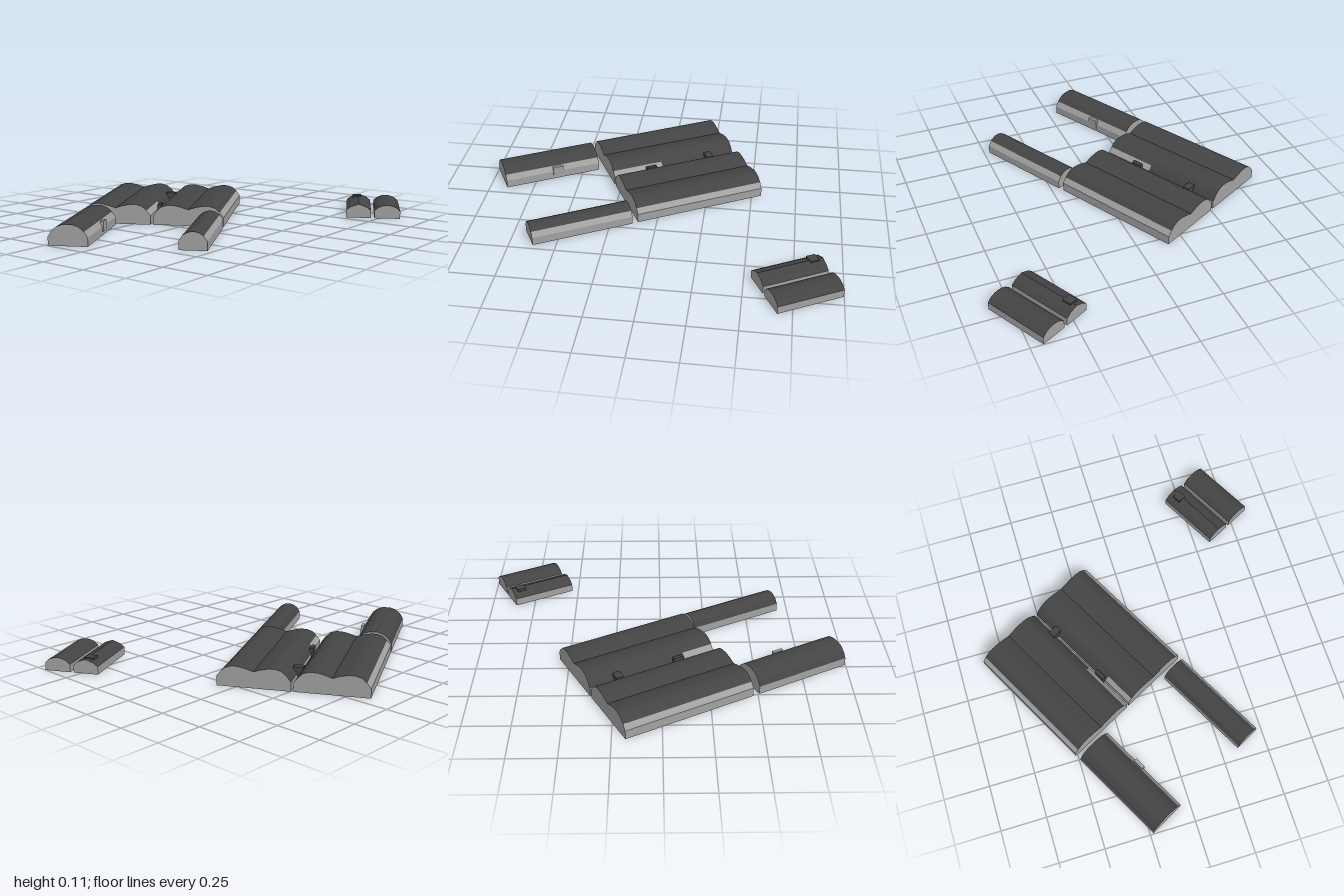
import * as THREE from 'three';

const TURN = 0.489; // shared heading of the whole site

// Roof outlines: [fraction of half width, height] from eave to middle
const WIDE = [[-1, 0.05], [-0.89, 0.078], [-0.76, 0.1], [-0.6, 0.11], [-0.42, 0.11], [-0.2, 0.101], [0, 0.088]];
const LARGE = [[-1, 0.045], [-0.82, 0.075], [-0.55, 0.098], [-0.22, 0.109]];
const NARROW = [[-1, 0.045], [-0.74, 0.073], [-0.4, 0.088], [-0.12, 0.093]];
const SMALL = [[-1, 0.043], [-0.7, 0.062], [-0.3, 0.073], [0, 0.075]];
const RIDGED = [[-1, 0.043], [-0.65, 0.062], [0, 0.078]];

function mirrorProfile(half, w) {
  const left = half.map(([u, y]) => [u * w, y]);
  const right = left.filter(([u]) => u < 0).reverse().map(([u, y]) => [-u, y]);
  return [...left, ...right];
}

// Flat strips, each running along z between two profile points
function strips(list) {
  const pos = [];
  for (const [p, q, z0, z1] of list) {
    const a = [...p, z0], b = [...p, z1], c = [...q, z1], d = [...q, z0];
    pos.push(...a, ...b, ...c, ...a, ...c, ...d);
  }
  const g = new THREE.BufferGeometry();
  g.setAttribute('position', new THREE.Float32BufferAttribute(pos, 3));
  g.computeVertexNormals();
  return g;
}

export function createModel() {
  const roofMat = new THREE.MeshStandardMaterial({ color: 0x444444, side: THREE.DoubleSide });
  roofMat.name = 'roof dark grey';
  const wallMat = new THREE.MeshStandardMaterial({ color: 0xa2a2a2, side: THREE.DoubleSide });
  wallMat.name = 'wall grey';
  const model = new THREE.Group();
  model.name = 'hangarSite';

  // One open-bottomed hall; leftPale/rightPale give the z at which a pale eave begins
  function hall(name, x, z, width, length, half, leftPale, rightPale) {
    const group = new THREE.Group();
    group.name = name;
    group.position.set(x, 0, z);
    group.rotation.y = TURN;
    const w = width / 2, l = length / 2;
    const p = mirrorProfile(half, w), last = p.length - 1;
    const walls = [[[-w, 0], p[0], -l, l], [p[last], [w, 0], -l, l]];
    const roof = [];
    for (let i = 0; i < last; i++) {
      const start = i === 0 ? leftPale : i === last - 1 ? rightPale : l;
      if (start > -l) roof.push([p[i], p[i + 1], -l, Math.min(start, l)]);
      if (start < l) walls.push([p[i], p[i + 1], Math.max(start, -l), l]);
    }
    const add = (geo, mat, part) => {
      const m = new THREE.Mesh(geo, mat);
      m.name = part;
      group.add(m);
      return m;
    };
    add(strips(roof), roofMat, 'barrelRoof');
    add(strips(walls), wallMat, 'sideWalls');
    // Gable ends
    const outline = [[-w, 0], ...p, [w, 0]].map(([u, y]) => new THREE.Vector2(u, y));
    const gable = new THREE.ShapeGeometry(new THREE.Shape(outline));
    add(gable, wallMat, 'frontGable').position.z = l;
    const back = add(gable, wallMat, 'backGable');
    back.position.z = -l;
    back.rotation.y = Math.PI;
    model.add(group);
    return group;
  }

  function block(group, name, mat, size, at) {
    const m = new THREE.Mesh(new THREE.BoxGeometry(...size), mat);
    m.name = name;
    m.position.set(...at);
    group.add(m);
  }

  const ALL = -9, NONE = 9;
  // Twin-barrel main halls
  hall('rightMainHall', -0.513, 0.055, 0.389, 0.742, WIDE, ALL, 0.075);
  const leftMain = hall('leftMainHall', -0.157, -0.135, 0.389, 0.742, WIDE, 0.19, ALL);
  // Single-barrel wings in front
  const rightWing = hall('rightWing', -0.273, 0.704, 0.203, 0.553, LARGE, NONE, ALL);
  hall('leftWing', 0.275, 0.409, 0.142, 0.56, NARROW, NONE, ALL);
  // Detached small sheds
  const shed = hall('innerShed', 0.564, -0.729, 0.138, 0.364, RIDGED, NONE, NONE);
  hall('outerShed', 0.706, -0.804, 0.143, 0.364, SMALL, NONE, NONE);

  // Link between the main halls and a lean-to on the inner side
  block(leftMain, 'linkPassage', roofMat, [0.055, 0.05, 0.04], [-0.2, 0.06, -0.21]);
  block(leftMain, 'leanTo', roofMat, [0.02, 0.07, 0.06], [-0.197, 0.045, 0.15]);
  // Side porch of the wing and roof vent of the shed
  block(rightWing, 'sidePorch', wallMat, [0.018, 0.055, 0.06], [0.099, 0.0475, -0.03]);
  block(shed, 'roofVent', roofMat, [0.05, 0.02, 0.05], [-0.01, 0.071, -0.13]);

  return model;
}
